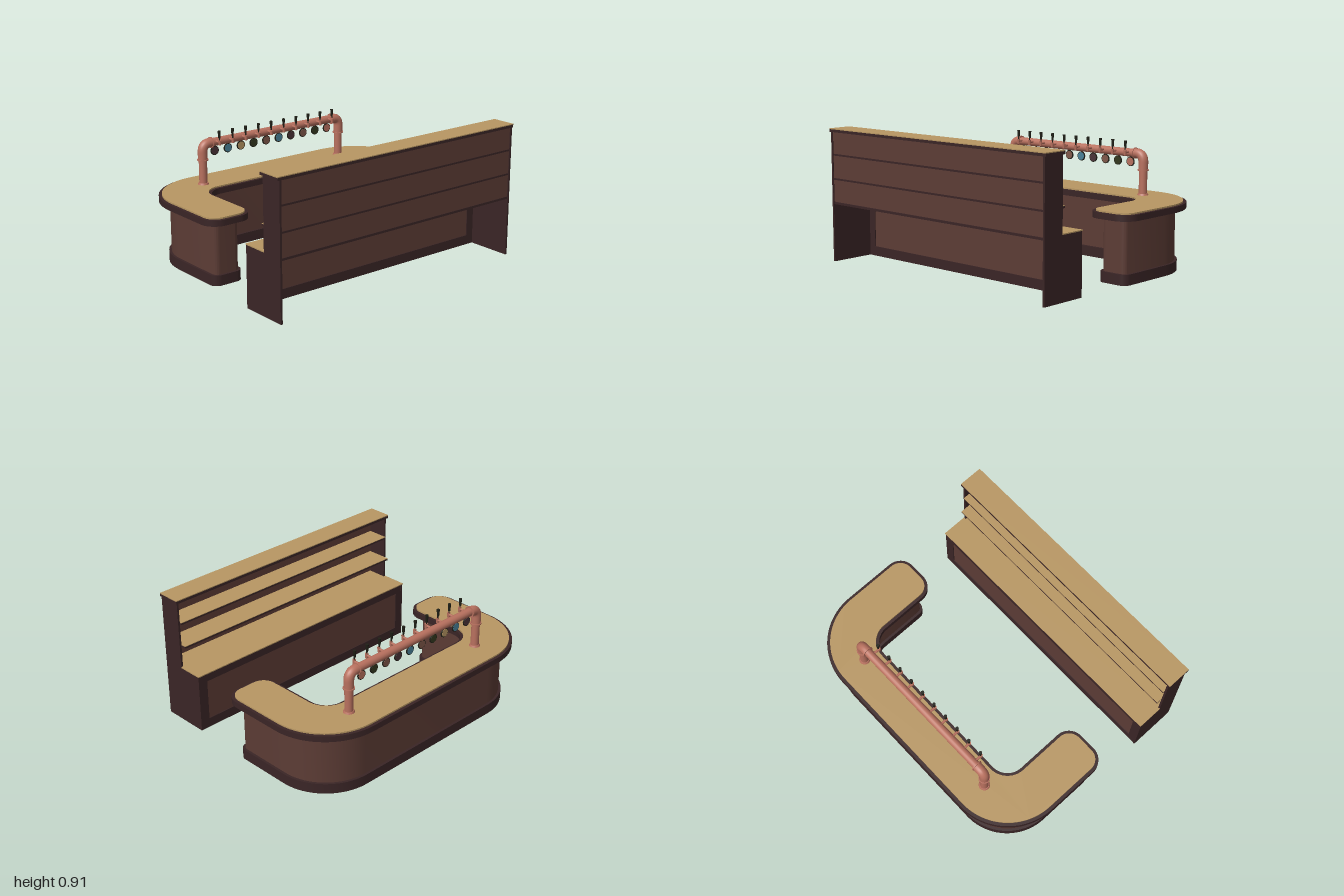
import * as THREE from 'three';
import { toCreasedNormals } from 'three/addons/utils/BufferGeometryUtils.js';

const PI = Math.PI;

function mat(name, color) {
  const m = new THREE.MeshStandardMaterial({ color });
  m.name = name;
  return m;
}

// Rounded U outline of the counter in (x, z), shrunk inwards by d
function uOutline(path, d) {
  const ho = 1 - d, hi = 0.665 + d, zb = -0.79 + d, zf = 0.108 - d, zi = -0.46 - d;
  const R = 0.42 - d, r = 0.13 + d, t = Math.max(0.11 - d, 0.03);
  path.absarc(ho - R, zb + R, R, -PI / 2, 0, false);
  path.absarc(ho - t, zf - t, t, 0, PI / 2, false);
  path.absarc(hi + t, zf - t, t, PI / 2, PI, false);
  path.absarc(hi - r, zi + r, r, 0, -PI / 2, true);
  path.absarc(-hi + r, zi + r, r, -PI / 2, -PI, true);
  path.absarc(-hi - t, zf - t, t, 0, PI / 2, false);
  path.absarc(-ho + t, zf - t, t, PI / 2, PI, false);
  path.absarc(-ho + R, zb + R, R, PI, 1.5 * PI, false);
  path.closePath();
  return path;
}

// U-shaped slab between two heights; with inner it becomes a ring
function uSlab(d, y0, y1, inner) {
  const shape = uOutline(new THREE.Shape(), d);
  if (inner !== undefined) shape.holes.push(uOutline(new THREE.Path(), inner));
  const g = new THREE.ExtrudeGeometry(shape, { depth: y1 - y0, bevelEnabled: false, curveSegments: 10 });
  g.rotateX(PI / 2).translate(0, y1, 0);
  return toCreasedNormals(g, 0.5);
}

export function createModel() {
  const dark = mat('darkWood', 0x3a2526);
  const brown = mat('brownWood', 0x5c3c35);
  const tan = mat('tanTop', 0xb89763);
  const copper = mat('copper', 0xb9715f);
  const black = mat('handleBlack', 0x1f1f16);
  const blue = mat('badgeBlue', 0x4a8299);
  const plum = mat('badgePlum', 0x4a3438);
  const green = mat('badgeGreen', 0x34381f);
  const rust = mat('badgeRust', 0x80584a);

  const model = new THREE.Group();
  const group = (name) => {
    const g = new THREE.Group();
    g.name = name;
    model.add(g);
    return g;
  };
  const add = (parent, name, geo, material, x = 0, y = 0, z = 0) => {
    const m = new THREE.Mesh(geo, material);
    m.name = name;
    m.position.set(x, y, z);
    parent.add(m);
    return m;
  };
  // Box given by its limits
  const box = (parent, name, material, x0, x1, y0, y1, z0, z1) =>
    add(parent, name, new THREE.BoxGeometry(x1 - x0, y1 - y0, z1 - z0), material,
      (x0 + x1) / 2, (y0 + y1) / 2, (z0 + z1) / 2);

  // U-shaped bar counter
  const bar = group('barCounter');
  add(bar, 'counterBody', uSlab(0.072, 0.005, 0.45), brown);
  add(bar, 'counterPlinth', uSlab(0.055, 0, 0.07, 0.08), dark);
  add(bar, 'counterRim', uSlab(0, 0.415, 0.455, 0.022), dark);
  add(bar, 'counterTop', uSlab(0.021, 0.435, 0.465), tan);

  // Copper beer tower: posts, elbows and a long rail
  const tower = group('tapTower');
  const pz = -0.583, px = 0.588, py = 0.742, bend = 0.055;
  const v = (x, y) => new THREE.Vector3(x, y, pz);
  add(tower, 'rail', new THREE.CylinderGeometry(0.028, 0.028, 2 * (px - bend), 20).rotateZ(PI / 2), copper, 0, py, pz);
  for (const s of [-1, 1]) {
    const x = s * px;
    add(tower, 'post', new THREE.CylinderGeometry(0.028, 0.028, 0.225, 20), copper, x, 0.5725, pz);
    add(tower, 'postFoot', new THREE.CylinderGeometry(0.033, 0.038, 0.012, 20), copper, x, 0.47, pz);
    add(tower, 'postCollar', new THREE.CylinderGeometry(0.038, 0.038, 0.008, 20), copper, x, 0.634, pz);
    add(tower, 'postSleeve', new THREE.CylinderGeometry(0.032, 0.032, 0.03, 20), copper, x, 0.645, pz);
    add(tower, 'railCollar', new THREE.CylinderGeometry(0.038, 0.038, 0.008, 20).rotateZ(PI / 2), copper, s * 0.52, py, pz);
    const elbow = new THREE.CurvePath();
    elbow.add(new THREE.LineCurve3(v(x, 0.65), v(x, py - bend)));
    elbow.add(new THREE.QuadraticBezierCurve3(v(x, py - bend), v(x, py), v(x - s * bend, py)));
    elbow.add(new THREE.LineCurve3(v(x - s * bend, py), v(s * 0.52, py)));
    add(tower, 'elbow', new THREE.TubeGeometry(elbow, 24, 0.033, 20), copper);
  }

  // Ten taps with handles, and a round badge below each
  const badges = [plum, blue, tan, green, rust, blue, plum, rust, green, copper];
  const disc = new THREE.CylinderGeometry(0.027, 0.027, 0.012, 20).rotateX(PI / 2);
  const discRim = new THREE.CylinderGeometry(0.032, 0.032, 0.008, 20).rotateX(PI / 2);
  const spout = new THREE.CylinderGeometry(0.008, 0.008, 0.05, 10).rotateX(PI / 2);
  const valve = new THREE.CylinderGeometry(0.011, 0.009, 0.034, 10);
  const stem = new THREE.CylinderGeometry(0.004, 0.004, 0.03, 8);
  const handle = new THREE.CylinderGeometry(0.011, 0.007, 0.05, 10);
  badges.forEach((badge, i) => {
    const x = -0.491 + i * 0.108;
    add(tower, 'tapSpout', spout, copper, x, 0.75, -0.54);
    add(tower, 'tapValve', valve, copper, x, 0.747, -0.52);
    add(tower, 'tapStem', stem, black, x, 0.775, -0.522);
    add(tower, 'tapHandle', handle, black, x, 0.803, -0.524);
    add(tower, 'badgeRim', discRim, black, x, 0.682, pz);
    add(tower, 'badge', disc, badge, x, 0.682, pz);
  });

  // Shelf unit with stepped side panels, its shelves facing the bar
  const unit = group('shelfUnit');
  const side = new THREE.Shape([[0.455, 0], [0.79, 0], [0.79, 0.885], [0.632, 0.885], [0.632, 0.406], [0.455, 0.406]]
    .map(([z, y]) => new THREE.Vector2(z, y)));
  const sideGeo = new THREE.ExtrudeGeometry(side, { depth: 0.014, bevelEnabled: false }).rotateY(-PI / 2);
  add(unit, 'sidePanel', sideGeo, dark, -0.972);
  add(unit, 'sidePanel', sideGeo, dark, 0.932);
  box(unit, 'backPanel', brown, -0.972, 0.918, 0.41, 0.885, 0.772, 0.784);

  // Top board, work surface and two shelves, each with a tan plate
  box(unit, 'topBoard', dark, -1, 0.942, 0.882, 0.9, 0.622, 0.79);
  box(unit, 'topBoardSurface', tan, -1, 0.942, 0.9, 0.906, 0.622, 0.79);
  box(unit, 'workBoard', dark, -0.972, 0.918, 0.393, 0.408, 0.455, 0.784);
  box(unit, 'workSurface', tan, -0.988, 0.934, 0.407, 0.414, 0.45, 0.631);
  box(unit, 'workSurfaceBack', tan, -0.972, 0.918, 0.408, 0.414, 0.631, 0.772);
  for (const [y, z] of [[0.568, 0.595], [0.732, 0.62]]) {
    box(unit, 'shelf', dark, -0.971, 0.917, y - 0.008, y + 0.004, z, 0.787);
    box(unit, 'shelfSurface', tan, -0.971, 0.917, y + 0.004, y + 0.008, z, 0.772);
  }

  // Cabinet front: dark frame around a recessed panel
  const rect = (p, x0, x1, y0, y1) => {
    p.moveTo(x0, y0).lineTo(x1, y0).lineTo(x1, y1).lineTo(x0, y1).closePath();
    return p;
  };
  const frame = rect(new THREE.Shape(), -0.972, 0.918, 0, 0.395);
  frame.holes.push(rect(new THREE.Path(), -0.92, 0.862, 0.065, 0.35));
  add(unit, 'cabinetFrame', new THREE.ExtrudeGeometry(frame, { depth: 0.02, bevelEnabled: false }), dark, 0, 0, 0.456);
  box(unit, 'cabinetPanel', brown, -0.925, 0.867, 0.06, 0.355, 0.462, 0.47);

  return model;
}
